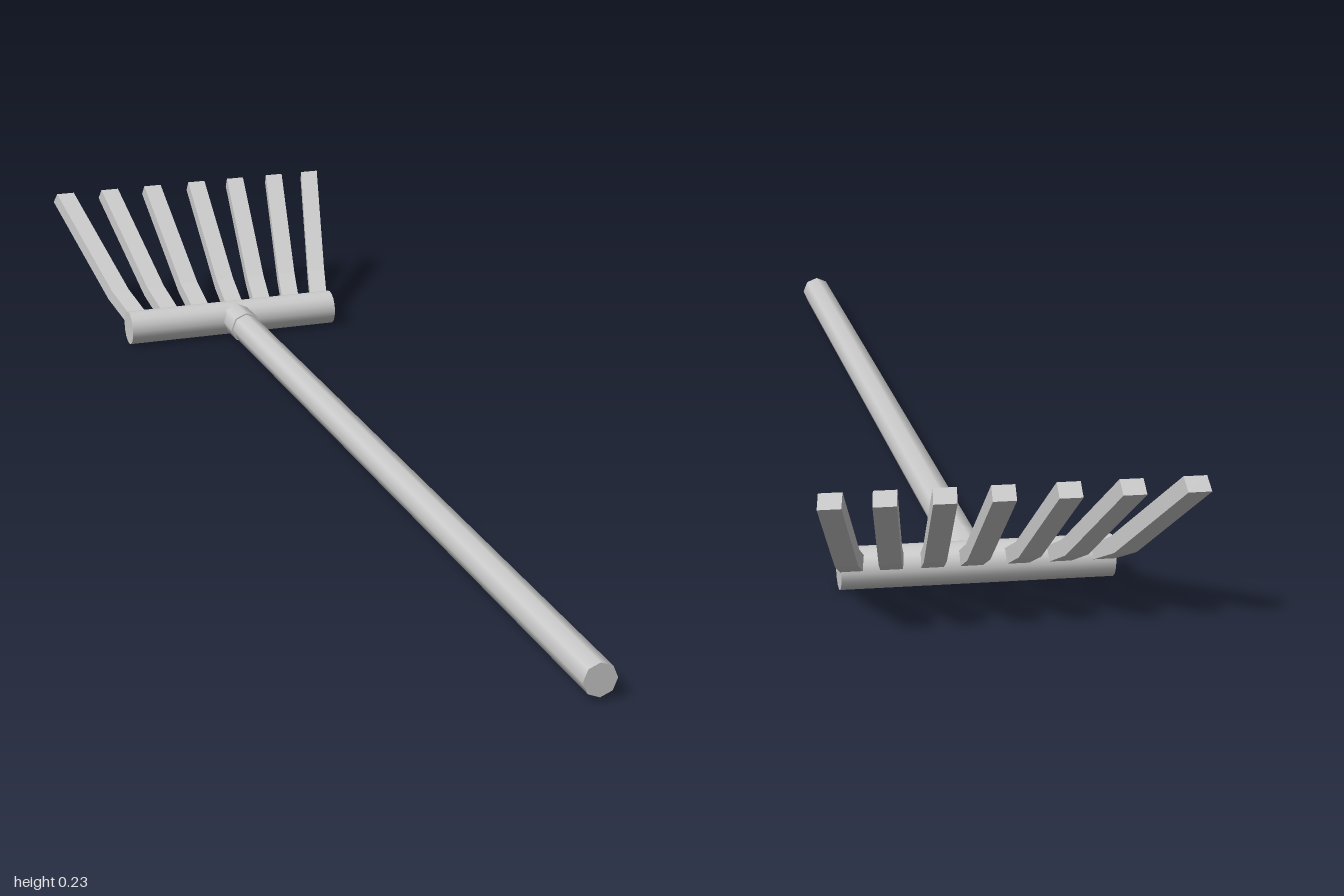
import * as THREE from 'three';

const material = new THREE.MeshStandardMaterial({ color: 0xcccccc });

function addMesh(group, name, geometry) {
  const mesh = new THREE.Mesh(geometry, material);
  mesh.name = name;
  group.add(mesh);
  return mesh;
}

// Rod along z between two depths
function rod(radius, zFront, zBack) {
  const geometry = new THREE.CylinderGeometry(radius, radius, zFront - zBack, 8);
  geometry.rotateX(Math.PI / 2);
  return geometry.translate(0.007, 0.033, (zFront + zBack) / 2);
}

// Bent side profile, extruded to the tine width and sheared sideways so it splays
function tineGeometry(xBase, xTip) {
  const width = 0.033;
  const zBase = 0.72, zTip = 0.993;
  const profile = new THREE.Shape([
    [0.72, 0.021], [0.808, 0.063], [1.0, 0.209],
    [0.986, 0.228], [0.795, 0.083], [0.72, 0.046],
  ].map(([x, y]) => new THREE.Vector2(x, y)));
  const geometry = new THREE.ExtrudeGeometry(profile, { depth: width, bevelEnabled: false });
  geometry.translate(0, 0, -width / 2).rotateY(Math.PI / 2);
  const pos = geometry.attributes.position;
  for (let i = 0; i < pos.count; i++) {
    const t = (-pos.getZ(i) - zBase) / (zTip - zBase);
    pos.setX(i, pos.getX(i) + xBase + (xTip - xBase) * t);
  }
  geometry.computeVertexNormals();
  return geometry;
}

export function createModel() {
  const rake = new THREE.Group();
  rake.name = 'rake';

  // Long handle and the slightly wider collar that joins it to the head
  addMesh(rake, 'handle', rod(0.0265, 1, -0.7));
  addMesh(rake, 'collar', rod(0.029, -0.64, -0.715));

  // Cross bar
  const bar = new THREE.CylinderGeometry(0.031, 0.031, 0.4, 16);
  bar.rotateZ(Math.PI / 2).translate(0, 0.031, -0.72);
  addMesh(rake, 'crossBar', bar);

  // Seven fanned tines
  const tines = new THREE.Group();
  tines.name = 'tines';
  const bases = [-0.174, -0.112, -0.053, 0.012, 0.066, 0.122, 0.178];
  const tips = [-0.252, -0.163, -0.076, 0.014, 0.094, 0.175, 0.249];
  bases.forEach((x, i) => addMesh(tines, `tine${i + 1}`, tineGeometry(x, tips[i])));
  rake.add(tines);

  return rake;
}
